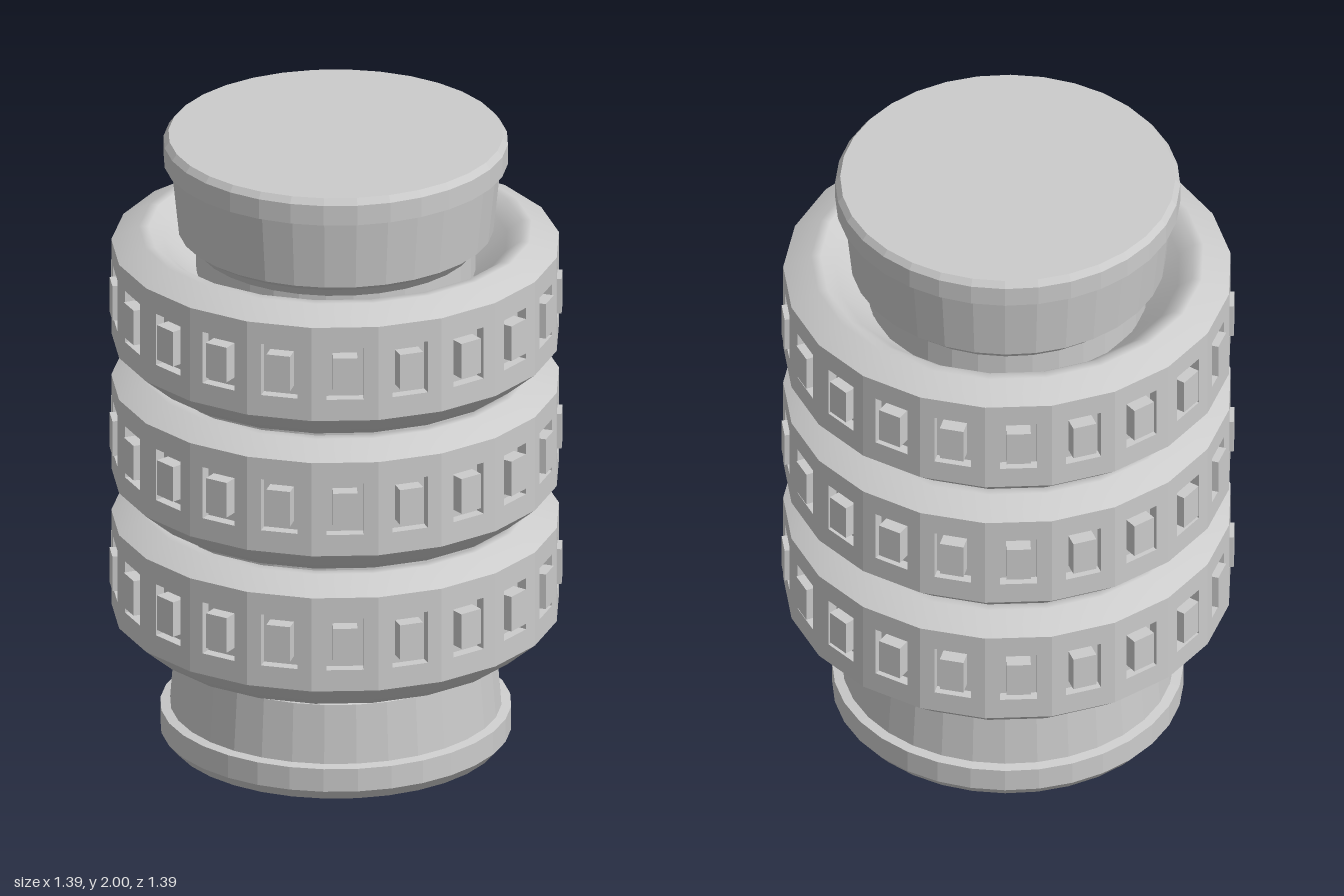
import * as THREE from 'three';
import { mergeGeometries } from 'three/addons/utils/BufferGeometryUtils.js';

const SIDES = 21;
const RADIUS = 0.69;
const STEP = (Math.PI * 2) / SIDES;
const APOTHEM = RADIUS * Math.cos(STEP / 2);
const FACE_WIDTH = 2 * RADIUS * Math.sin(STEP / 2);
const WALL_HALF = 0.155;
const RECESS = 0.035;

const smooth = new THREE.MeshStandardMaterial({ color: 0xcccccc });
const flat = new THREE.MeshStandardMaterial({ color: 0xcccccc, flatShading: true });

function lathe(points, sides) {
  const geometry = new THREE.LatheGeometry(points.map(([r, y]) => new THREE.Vector2(r, y)), sides);
  return geometry.rotateY(Math.PI / 2); // a corner lies on +x
}

function addMesh(parent, name, geometry, material) {
  const mesh = new THREE.Mesh(geometry, material);
  mesh.name = name;
  parent.add(mesh);
}

// Copies a geometry made facing +z onto every flat face of a ring
function aroundRing(geometry) {
  const copies = [];
  for (let i = 0; i < SIDES; i++) {
    copies.push(geometry.clone().rotateY(Math.PI / 2 + (i + 0.5) * STEP));
  }
  return mergeGeometries(copies);
}

function rectangle(path, w, h) {
  return path.moveTo(-w / 2, -h / 2).lineTo(w / 2, -h / 2).lineTo(w / 2, h / 2).lineTo(-w / 2, h / 2).closePath();
}

function createRing() {
  const ring = new THREE.Group();
  ring.name = 'ring';

  // Rounded shoulders that dip inwards to the core
  addMesh(ring, 'lowerShoulder',
    lathe([[0.43, -0.09], [0.53, -0.195], [0.565, -0.235], [0.595, -0.235], [RADIUS, -WALL_HALF]], SIDES), smooth);
  addMesh(ring, 'upperShoulder',
    lathe([[RADIUS, WALL_HALF], [0.605, 0.2], [0.575, 0.2], [0.53, 0.165], [0.43, 0.07]], SIDES), smooth);

  // Outer wall panels, each with a window recess
  const panel = rectangle(new THREE.Shape(), FACE_WIDTH, WALL_HALF * 2);
  panel.holes.push(rectangle(new THREE.Path(), 0.115, 0.17));
  const panelGeometry = new THREE.ExtrudeGeometry(panel, { depth: RECESS, bevelEnabled: false });
  panelGeometry.translate(0, 0, APOTHEM - RECESS);
  addMesh(ring, 'windowWall', aroundRing(panelGeometry), flat);

  // Recess floor
  const floorRadius = (APOTHEM - RECESS + 0.002) / Math.cos(STEP / 2);
  addMesh(ring, 'recessFloor', lathe([[floorRadius, -0.12], [floorRadius, 0.12]], SIDES), flat);

  // Blocks standing slightly proud of the windows
  const block = new THREE.BoxGeometry(0.075, 0.115, RECESS + 0.03);
  block.translate(0, 0, APOTHEM + 0.013 - (RECESS + 0.03) / 2);
  addMesh(ring, 'windowBlocks', aroundRing(block), flat);
  return ring;
}

export function createModel() {
  const model = new THREE.Group();
  model.name = 'ribbedCylinder';

  // Foot with a rim and a tapering neck
  addMesh(model, 'foot', lathe([
    [0, 0], [0.51, 0], [0.54, 0.035], [0.54, 0.11], [0.51, 0.115],
    [0.495, 0.305], [0.43, 0.35],
  ], 32), flat);

  // Core with small flares between the rings
  addMesh(model, 'core', lathe([
    [0.43, 0.35], [0.43, 0.76], [0.5, 0.78], [0.43, 0.81], [0.43, 1.21],
    [0.48, 1.235], [0.43, 1.26], [0.43, 1.64],
  ], 32), flat);

  // Head with a flared neck and a rim
  addMesh(model, 'head', lathe([
    [0.43, 1.64], [0.455, 1.67], [0.485, 1.69], [0.508, 1.91],
    [0.53, 1.915], [0.53, 1.98], [0.515, 2], [0, 2],
  ], 32), flat);

  for (const y of [0.585, 1.035, 1.485]) {
    const ring = createRing();
    ring.position.y = y;
    model.add(ring);
  }
  return model;
}
